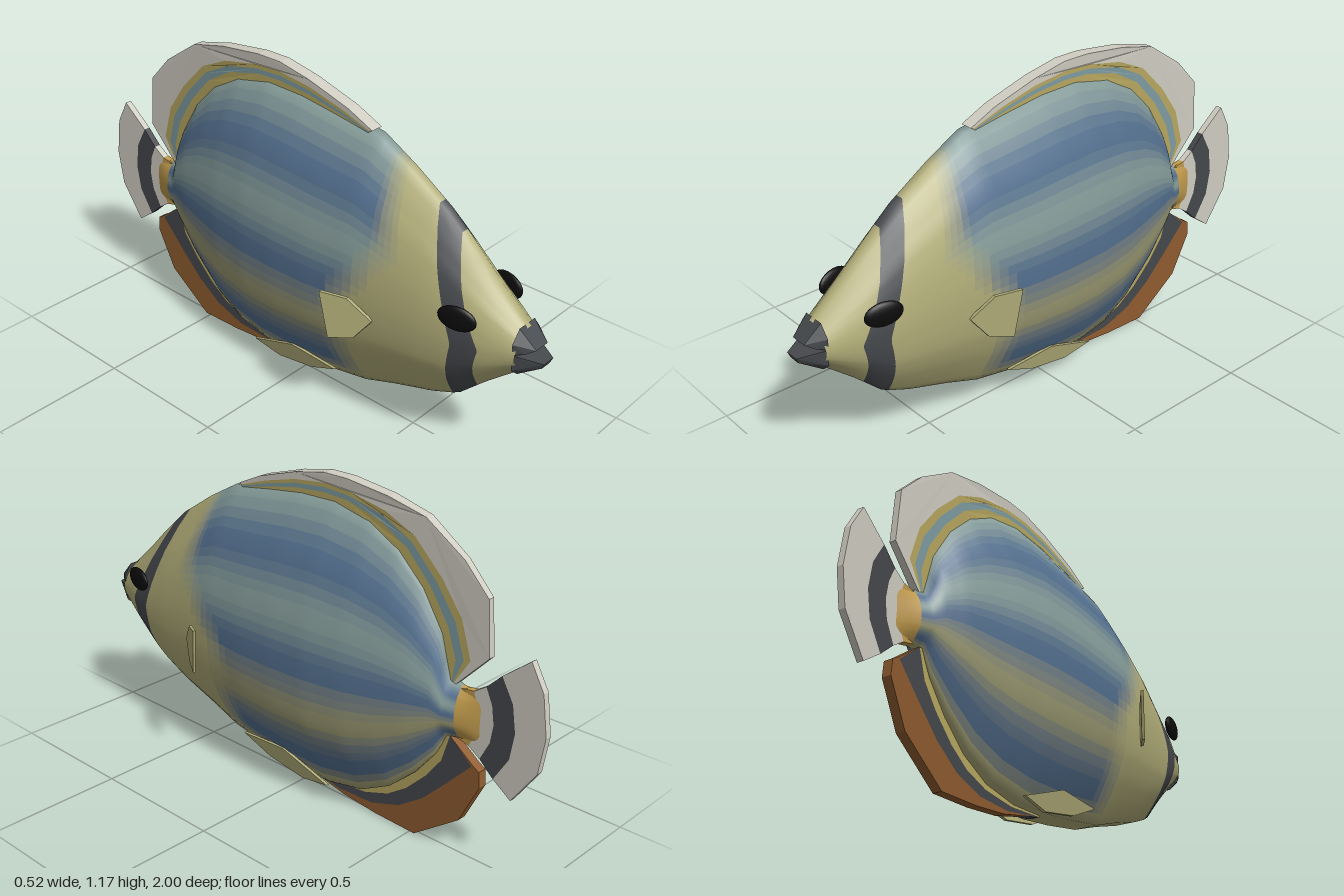
import * as THREE from 'three';
import { ConvexGeometry } from 'three/addons/geometries/ConvexGeometry.js';

const C = { yellow: 0xb0ac78, olive: 0xa09a68, blue: 0x54708f, teal: 0x7d9ca2, dark: 0x45484c,
  white: 0xd0cdc2, stripe: 0xb8a860, orange: 0xc09a4c, brown: 0x8f5c30, black: 0x0c0c0c };

const material = (color) => new THREE.MeshStandardMaterial({ color });
function addMesh(parent, name, geometry, color) {
  const mesh = new THREE.Mesh(geometry, material(color));
  mesh.name = name;
  parent.add(mesh);
  return mesh;
}
const clamp01 = (v) => Math.min(1, Math.max(0, v));

// Linear lookup in rows sorted by descending first column
function lookup(rows, key, col) {
  if (key >= rows[0][0]) return rows[0][col];
  for (let i = 1; i < rows.length; i++) {
    const [a, b] = [rows[i - 1], rows[i]];
    if (key >= b[0]) return a[col] + (b[col] - a[col]) * (a[0] - key) / (a[0] - b[0]);
  }
  return rows[rows.length - 1][col];
}

// Body stations: z, top, bottom, half width
const STATIONS = [
  [0.92, 0.595, 0.445, 0.07], [0.8, 0.7, 0.345, 0.112], [0.7, 0.795, 0.25, 0.132],
  [0.6, 0.88, 0.21, 0.148], [0.45, 0.975, 0.165, 0.166], [0.32, 1.045, 0.12, 0.18],
  [0.15, 1.07, 0.09, 0.19], [0, 1.09, 0.07, 0.19], [-0.15, 1.095, 0.065, 0.182],
  [-0.3, 1.065, 0.09, 0.16], [-0.42, 1.0, 0.15, 0.132], [-0.52, 0.9, 0.24, 0.107],
  [-0.6, 0.77, 0.34, 0.078], [-0.64, 0.62, 0.42, 0.06], [-0.7, 0.6, 0.425, 0.035],
  [-0.76, 0.61, 0.41, 0.014]];
// Cross-section: height fraction, width fraction
const SECTION = [[1, 0.1], [0.93, 0.36], [0.82, 0.67], [0.73, 0.82], [0.64, 0.92], [0.55, 0.98],
  [0.47, 1], [0.37, 0.985], [0.27, 0.92], [0.17, 0.74], [0.08, 0.5], [0, 0.25]];

// Rings lean back at the top so that colour edges follow the slanted mask
function ringZ(s, t) {
  const amount = s > 0.81 ? (0.92 - s) / 0.11 : clamp01((s - 0.35) / 0.3);
  const lean = 0.15 * clamp01((t - 0.45) / 0.55) ** 1.3 + 0.04 * clamp01((0.45 - t) / 0.45);
  return s - clamp01(amount) * lean;
}

// Body colour: yellow head, dark mask, blue flank with pale bands, orange tail root
function bodyColor(s, t) {
  if (s > 0.72 && s < 0.81) return C.dark;
  if (s < -0.68) return C.orange;
  const levels = (v) => Math.round(clamp01(v) * 6) / 6;
  const band = 0.5 + 0.5 * Math.cos(2 * Math.PI * (t - 0.47) / 0.35);
  const pale = new THREE.Color(C.teal).lerp(new THREE.Color(C.olive), t < 0.45 ? 0.85 : 0.2);
  const flank = pale.lerp(new THREE.Color(C.blue), levels(band));
  const edge = 0.2 + 0.2 * clamp01((t - 0.4) / 0.3);
  const head = Math.max(levels((s - edge) / 0.14), levels((0.06 - t) / 0.05));
  return flank.lerp(new THREE.Color(C.yellow), head).getHex();
}

function buildBody() {
  const group = new THREE.Group();
  group.name = 'body';
  const N = 28, ring = 2 * N + 2;
  const stops = [0.92, 0.81, 0.72, 0.6, 0.45, 0.32, 0.15, 0, -0.15, -0.3, -0.42, -0.52, -0.6, -0.64, -0.68, -0.76];
  const S = [stops[0]];
  for (let i = 1; i < stops.length; i++) {
    const n = Math.ceil((stops[i - 1] - stops[i]) / 0.035);
    for (let k = 1; k <= n; k++) S.push(stops[i - 1] + (stops[i] - stops[i - 1]) * k / n);
  }
  const T = (j) => (j <= N ? j : ring - 1 - j) / N;
  const positions = [], buckets = new Map();
  for (const s of S) for (let j = 0; j < ring; j++) {
    const t = T(j), z = ringZ(s, t);
    const top = lookup(STATIONS, z, 1), bottom = lookup(STATIONS, z, 2);
    const x = lookup(STATIONS, z, 3) * lookup(SECTION, t, 1);
    positions.push(j <= N ? x : -x, bottom + t * (top - bottom), z);
  }
  const all = [];
  for (let i = 0; i < S.length - 1; i++) for (let j = 0; j < ring; j++) {
    const k = (j + 1) % ring, a = i * ring, b = a + ring;
    const quad = [b + j, b + k, a + k, b + j, a + k, a + j];
    const color = bodyColor((S[i] + S[i + 1]) / 2, (T(j) + T(k)) / 2);
    if (!buckets.has(color)) buckets.set(color, []);
    buckets.get(color).push(...quad);
    all.push(...quad);
  }
  const skin = new THREE.BufferGeometry();
  skin.setAttribute('position', new THREE.Float32BufferAttribute(positions, 3));
  skin.setIndex(all);
  skin.computeVertexNormals();
  // One mesh per skin colour, all sharing the same smooth normals
  for (const [color, index] of buckets) {
    const part = skin.clone();
    part.setIndex(index);
    addMesh(group, 'bodySkin', part.toNonIndexed(), color);
  }
  return group;
}

// Flat plate in the side plane from [z, y] points; halfWidth may vary along z
function plate(points, halfWidth) {
  const shape = new THREE.Shape(points.map(([z, y]) => new THREE.Vector2(z, y)));
  const g = new THREE.ExtrudeGeometry(shape, { depth: 2, bevelEnabled: false });
  g.translate(0, 0, -1).rotateY(-Math.PI / 2);
  const p = g.attributes.position;
  for (let i = 0; i < p.count; i++) p.setX(i, p.getX(i) * halfWidth(p.getZ(i)));
  g.computeVertexNormals();
  return g;
}

// Fin made of coloured bands between successive lines
function bandedFin(name, lines, colors, halfWidth) {
  const group = new THREE.Group();
  group.name = name;
  colors.forEach((color, i) => addMesh(group, name + 'Band',
    plate([...lines[i], ...lines[i + 1].slice().reverse()], halfWidth), color));
  return group;
}
const between = (a, b, k) => a.map(([z, y], i) => [z + (b[i][0] - z) * k, y + (b[i][1] - y) * k]);
const inward = (line) => line.map(([z, y]) => [z * 0.96, 0.5 + (y - 0.5) * 0.96]);

export function createModel() {
  const fish = new THREE.Group();
  fish.name = 'fish';
  fish.add(buildBody());

  // Dorsal fin
  const d1 = [[0.28, 1.04], [0.15, 1.065], [0.03, 1.085], [-0.1, 1.095], [-0.2, 1.09], [-0.33, 1.055],
    [-0.44, 0.985], [-0.53, 0.885], [-0.6, 0.77], [-0.63, 0.68], [-0.64, 0.61]];
  const d4 = [[0.29, 1.05], [0.17, 1.09], [0.03, 1.125], [-0.1, 1.14], [-0.21, 1.135], [-0.36, 1.105],
    [-0.48, 1.05], [-0.59, 0.94], [-0.67, 0.83], [-0.71, 0.7], [-0.65, 0.605]];
  const d5 = [[0.3, 1.055], [0.2, 1.1], [0.03, 1.15], [-0.1, 1.175], [-0.2, 1.175], [-0.37, 1.155],
    [-0.52, 1.12], [-0.67, 1.02], [-0.765, 0.92], [-0.78, 0.73], [-0.655, 0.6]];
  fish.add(bandedFin('dorsalFin', [inward(d1), between(d1, d4, 0.3), between(d1, d4, 0.68), d4, d5],
    [C.stripe, C.teal, C.stripe, C.white], (z) => 0.023 - 0.011 * clamp01((-0.3 - z) / 0.4)));

  // Anal fin
  const a0 = [[0, 0.075], [-0.17, 0.065], [-0.3, 0.09], [-0.38, 0.125], [-0.46, 0.18], [-0.53, 0.25], [-0.6, 0.34], [-0.64, 0.42]];
  const a1 = [[0, 0.065], [-0.16, 0.055], [-0.3, 0.07], [-0.4, 0.105], [-0.48, 0.16], [-0.56, 0.24], [-0.62, 0.32], [-0.65, 0.42]];
  const a2 = [[-0.02, 0.06], [-0.18, 0.035], [-0.33, 0.04], [-0.45, 0.08], [-0.55, 0.15], [-0.64, 0.24], [-0.74, 0.345], [-0.655, 0.418]];
  const a3 = [[-0.05, 0.058], [-0.2, 0.02], [-0.35, 0.005], [-0.52, 0], [-0.7, 0.13], [-0.775, 0.28], [-0.77, 0.335], [-0.745, 0.35]];
  fish.add(bandedFin('analFin', [inward(a0), a1, a2, a3], [C.stripe, C.dark, C.brown], () => 0.017));

  // Tail fin
  const tail = [
    [[-0.66, 0.595], [-0.66, 0.55], [-0.66, 0.51], [-0.66, 0.47], [-0.66, 0.425]],
    [[-0.73, 0.605], [-0.745, 0.56], [-0.75, 0.51], [-0.745, 0.46], [-0.72, 0.41]],
    [[-0.775, 0.635], [-0.8, 0.58], [-0.81, 0.515], [-0.8, 0.45], [-0.765, 0.38]],
    [[-0.83, 0.69], [-0.875, 0.61], [-0.89, 0.515], [-0.875, 0.42], [-0.82, 0.33]],
    [[-0.93, 0.77], [-0.98, 0.68], [-1, 0.54], [-0.98, 0.41], [-0.89, 0.28]]];
  fish.add(bandedFin('tailFin', tail, [C.orange, C.white, C.dark, C.white], () => 0.012));

  // Lips
  const jaw = (name, rows) => addMesh(fish, name, new ConvexGeometry(
    rows.flatMap(([x, y, z]) => [new THREE.Vector3(x, y, z), new THREE.Vector3(-x, y, z)])), C.dark);
  jaw('upperLip', [[0.04, 0.603, 0.91], [0.072, 0.56, 0.91], [0.07, 0.52, 0.91], [0.03, 0.545, 0.97], [0.05, 0.53, 0.945]]);
  jaw('lowerLip', [[0.07, 0.52, 0.91], [0.065, 0.46, 0.91], [0.03, 0.43, 0.91], [0.025, 0.505, 0.998], [0.045, 0.505, 0.96], [0.02, 0.485, 0.99]]);

  for (const side of [1, -1]) {
    const label = side > 0 ? 'left' : 'right';
    // Eyes
    const eye = addMesh(fish, label + 'Eye', new THREE.SphereGeometry(1, 20, 14), C.black);
    eye.scale.set(0.016, 0.043, 0.066);
    eye.position.set(side * 0.134, 0.61, 0.745);
    eye.rotation.y = side * -0.2;

    // Paired fins: thin plates leaned away from the body
    const sideFin = (name, points, lean) => {
      const g = plate(points, () => 0.006), p = g.attributes.position;
      for (let i = 0; i < p.count; i++) p.setX(i, p.getX(i) + side * lean(p.getZ(i), p.getY(i)));
      g.computeVertexNormals();
      addMesh(fish, name, g, C.yellow);
    };
    sideFin(label + 'PectoralFin', [[0.44, 0.475], [0.37, 0.555], [0.295, 0.572], [0.32, 0.397], [0.39, 0.405]],
      (z) => 0.165 + (0.44 - z) * 0.63);
    sideFin(label + 'PelvicFin', [[0.22, 0.14], [0.02, 0.15], [-0.18, 0.075], [-0.06, 0.055], [0.1, 0.085]],
      (z, y) => 0.075 + (y - 0.055) * 0.2);
  }
  return fish;
}
